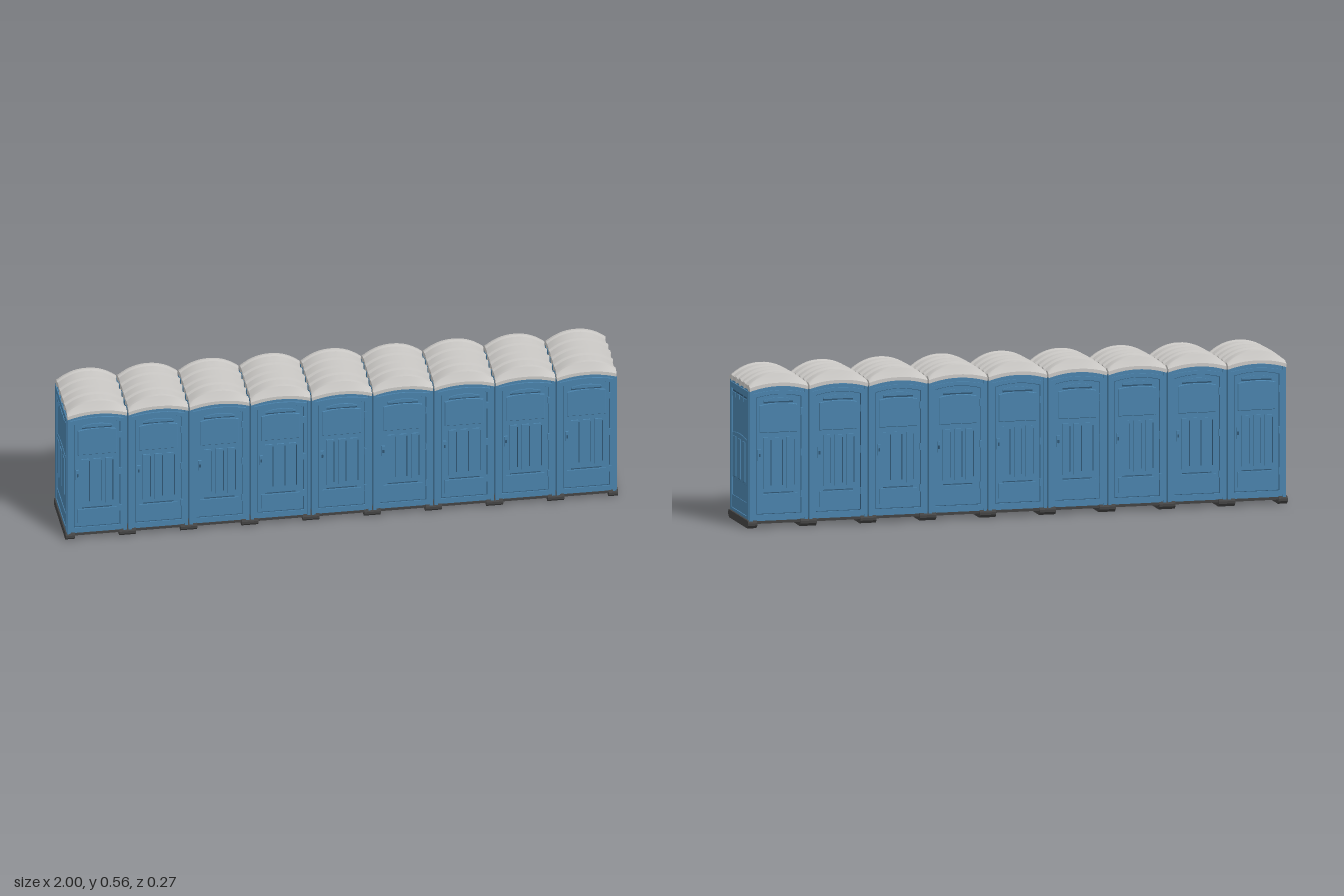
import * as THREE from 'three';
import { toCreasedNormals } from 'three/addons/utils/BufferGeometryUtils.js';

const COUNT = 9, PITCH = 0.2215, W = 0.216, H = W / 2;

const paint = (name, color) => {
  const m = new THREE.MeshStandardMaterial({ color });
  m.name = name;
  return m;
};
const blue = paint('blue plastic', 0x4a82ab);
const grey = paint('pale grey roof', 0xc9c7c4);
const dark = paint('dark base', 0x434343);
const shade = paint('dark blue trim', 0x2f5674);

function add(parent, name, geometry, material, x = 0, y = 0, z = 0) {
  const mesh = new THREE.Mesh(geometry, material);
  mesh.name = name;
  mesh.position.set(x, y, z);
  parent.add(mesh);
  return mesh;
}
const box = (parent, name, mat, w, h, d, x, y, z) =>
  add(parent, name, new THREE.BoxGeometry(w, h, d), mat, x, y, z);

// Upright panel outline with an arched top
function archShape(w, y0, y1, rise, Type = THREE.Shape) {
  const s = new Type();
  s.moveTo(-w / 2, y0);
  s.lineTo(w / 2, y0);
  s.lineTo(w / 2, y1);
  s.quadraticCurveTo(0, y1 + 2 * rise, -w / 2, y1);
  s.closePath();
  return s;
}
const extrude = (shape, depth, bevel = 0) =>
  new THREE.ExtrudeGeometry(shape, {
    depth, curveSegments: 12, bevelEnabled: bevel > 0,
    bevelSize: bevel, bevelThickness: bevel, bevelSegments: 1, bevelOffset: -bevel,
  });

// Roof: curved cross-sections joined from back to front, with raised ribs
function roofGeometry() {
  const N = 14, half = [];
  // z, crown height, shoulder height, half width
  half.push([0, 0.562, 0.523, H], [0.008, 0.562, 0.523, H], [0.013, 0.554, 0.515, H - 0.003],
    [0.044, 0.554, 0.515, H - 0.003], [0.049, 0.561, 0.522, H], [0.059, 0.561, 0.522, H],
    [0.064, 0.554, 0.515, H - 0.003], [0.104, 0.555, 0.515, H - 0.003], [0.109, 0.56, 0.52, H],
    [0.12, 0.559, 0.519, H], [0.132, 0.534, 0.513, H], [0.137, 0.526, 0.51, H]);
  const rows = [...half.slice(1).reverse().map(([z, ...r]) => [-z, ...r]), ...half];
  const pos = [], idx = [], ring = 2 * (N + 1);
  for (const [z, crown, edge, hw] of rows) {
    for (let i = 0; i <= N; i++) {
      const u = 1 - 2 * i / N;
      pos.push(u * hw, edge + (crown - edge) * (1 - Math.abs(u) ** 2.2), z);
    }
    for (let i = 0; i <= N; i++) {
      const u = -1 + 2 * i / N;
      pos.push(u * hw, 0.497 + 0.017 * (1 - u * u), z);
    }
  }
  for (let r = 0; r < rows.length - 1; r++) {
    for (let i = 0; i < ring; i++) {
      const j = (i + 1) % ring, a = r * ring, b = a + ring;
      idx.push(a + i, a + j, b + j, a + i, b + j, b + i);
    }
  }
  const last = (rows.length - 1) * ring;
  for (let i = 0; i < N; i++) {
    const a = i, b = i + 1, c = ring - 2 - i, d = ring - 1 - i;
    idx.push(a, c, b, a, d, c);
    idx.push(last + a, last + b, last + c, last + a, last + c, last + d);
  }
  // Keep faces pointing outward
  for (let i = 0; i < idx.length; i += 3) [idx[i + 1], idx[i + 2]] = [idx[i + 2], idx[i + 1]];
  const g = new THREE.BufferGeometry();
  g.setAttribute('position', new THREE.Float32BufferAttribute(pos, 3));
  g.setIndex(idx);
  // Check the first top face, and reverse all if it points down
  g.computeVertexNormals();
  const mid = (half.length - 1) * ring + N / 2;
  if (g.attributes.normal.getY(mid) < 0) g.setIndex(idx.reverse());
  return toCreasedNormals(g, 0.5);
}

// Door face, built on z = 0 and facing +z
function makeDoor() {
  const door = new THREE.Group();
  door.name = 'door';
  const frame = archShape(0.196, 0.034, 0.487, 0.011);
  frame.holes.push(archShape(0.168, 0.05, 0.474, 0.011, THREE.Path));
  add(door, 'doorFrame', extrude(frame, 0.005), blue);
  const seam = archShape(0.168, 0.05, 0.474, 0.011);
  seam.holes.push(archShape(0.164, 0.052, 0.472, 0.011, THREE.Path));
  add(door, 'doorSeam', extrude(seam, 0.001), shade);
  add(door, 'upperPanel', extrude(archShape(0.14, 0.345, 0.445, 0.008), 0.001, 0.002), blue);
  // Arched vent above the door panel
  add(door, 'ventSlot', extrude(archShape(0.11, 0.452, 0.458, 0.009), 0.001), shade);
  add(door, 'ventHood', extrude(archShape(0.11, 0.458, 0.463, 0.009), 0.004), blue);
  for (const x of [-0.043, 0, 0.043]) {
    box(door, 'pressedRib', blue, 0.026, 0.185, 0.006, x, 0.235, 0.002);
    box(door, 'ribGroove', shade, 0.003, 0.165, 0.002, x + 0.0155, 0.235, 0.0005);
  }
  box(door, 'lowerPanel', blue, 0.14, 0.055, 0.005, 0, 0.095, 0.0015);
  box(door, 'kickLine', shade, 0.11, 0.003, 0.002, 0, 0.127, 0.0005);
  box(door, 'handle', blue, 0.012, 0.04, 0.007, -0.071, 0.265, 0.0035);
  box(door, 'latch', shade, 0.006, 0.012, 0.002, -0.071, 0.265, 0.0072);
  for (const y of [0.12, 0.27, 0.42]) box(door, 'hinge', blue, 0.008, 0.025, 0.007, 0.085, y, 0.0035);
  return door;
}

// End wall face, built on z = 0 and facing +z
function makeEndWall() {
  const wall = new THREE.Group();
  wall.name = 'endWall';
  const frame = archShape(0.256, 0.03, 0.495, 0);
  frame.holes.push(archShape(0.204, 0.04, 0.475, 0, THREE.Path));
  add(wall, 'wallFrame', extrude(frame, 0.004), blue);
  add(wall, 'raisedPanel', extrude(archShape(0.19, 0.15, 0.315, 0.008), 0.001, 0.0015), blue);
  for (const x of [-0.062, 0, 0.062]) {
    box(wall, 'wallRib', blue, 0.034, 0.145, 0.004, x, 0.232, 0.003);
    box(wall, 'ribFoot', shade, 0.026, 0.002, 0.002, x, 0.158, 0.003);
  }
  box(wall, 'lowerStep', blue, 0.2, 0.045, 0.003, 0, 0.065, 0.001);
  for (const x of [-0.075, -0.025, 0.025, 0.075]) {
    box(wall, 'ventShadow', shade, 0.04, 0.006, 0.002, x, 0.467, 0.0005);
    box(wall, 'ventLouvre', blue, 0.04, 0.016, 0.004, x, 0.454, 0.001);
  }
  return wall;
}

// Skid with chamfered ends, running front to back
function skidGeometry(width) {
  const s = new THREE.Shape([[-0.124, 0], [0.124, 0], [0.136, 0.011], [0.136, 0.02],
    [0.129, 0.028], [-0.129, 0.028], [-0.136, 0.02], [-0.136, 0.011]].map(p => new THREE.Vector2(...p)));
  const g = extrude(s, width);
  g.translate(0, 0, -width / 2);
  return g.rotateY(Math.PI / 2);
}

export function createModel() {
  const model = new THREE.Group();
  model.name = 'cabinRow';
  const roof = roofGeometry();
  const body = extrude(archShape(W - 0.004, 0.024, 0.5, 0.012), 0.256);
  body.translate(0, 0, -0.128);

  for (let i = 0; i < COUNT; i++) {
    const cabin = new THREE.Group();
    cabin.name = 'cabin';
    cabin.position.x = (i - (COUNT - 1) / 2) * PITCH;
    model.add(cabin);
    add(cabin, 'body', body, blue);
    add(cabin, 'roof', roof, grey);
    for (const side of [1, -1]) {
      const door = makeDoor();
      door.position.z = side * 0.128;
      if (side < 0) door.rotation.y = Math.PI;
      cabin.add(door);
      // Corner posts
      for (const x of [-1, 1])
        box(cabin, 'cornerPost', blue, 0.012, 0.475, 0.012, x * (H - 0.006), 0.2635, side * 0.128);
    }
  }

  // End walls
  for (const side of [1, -1]) {
    const wall = makeEndWall();
    wall.position.x = side * 0.992;
    wall.rotation.y = side * Math.PI / 2;
    model.add(wall);
  }

  // Floor and skids under each join
  box(model, 'floor', dark, 1.988, 0.01, 0.258, 0, 0.021, 0);
  for (let i = 0; i <= COUNT; i++) {
    const end = i === 0 ? 1 : i === COUNT ? -1 : 0;
    const width = end ? 0.034 : 0.06;
    add(model, 'skid', skidGeometry(width), dark, end ? -end * 0.983 : (i - COUNT / 2) * PITCH, 0, 0);
  }
  return model;
}
